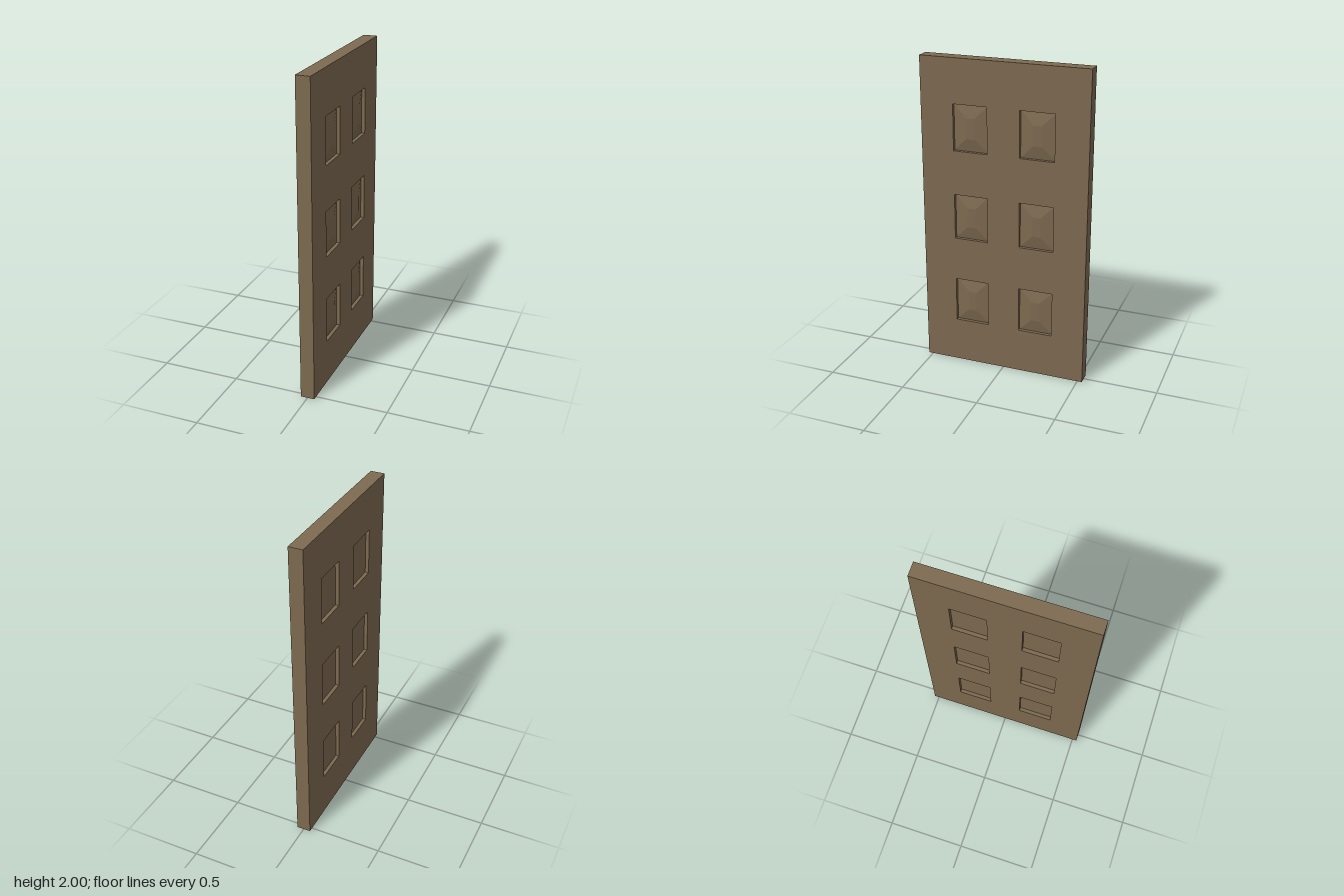
import * as THREE from 'three';

const HEIGHT = 2, HALF_W = 0.53, HALF_T = 0.044;
const PANEL_W = 0.218, PANEL_H = 0.291; // size of each recess
const RECESS = 0.022, RAISE = 0.017, BEVEL = 0.082;
const COLUMNS = [-0.212, 0.212];
const ROWS = [0.434, 1.005, 1.577];

const wood = new THREE.MeshStandardMaterial({ color: 0x7d6a50, flatShading: true });

function addPart(parent, name, geometry) {
  const mesh = new THREE.Mesh(geometry, wood);
  mesh.name = name;
  parent.add(mesh);
  return mesh;
}

// Rectangle as a closed loop of points around (cx, cy)
function rectangle(cx, cy, w, h) {
  return [[-1, -1], [1, -1], [1, 1], [-1, 1]].map(
    ([sx, sy]) => new THREE.Vector2(cx + sx * w / 2, cy + sy * h / 2));
}

// Door leaf with six rectangular openings, thickness running along x
function doorFrame() {
  const shape = new THREE.Shape(rectangle(0, HEIGHT / 2, HALF_W * 2, HEIGHT));
  for (const z of COLUMNS)
    for (const y of ROWS)
      shape.holes.push(new THREE.Path(rectangle(-z, y, PANEL_W, PANEL_H)));
  return new THREE.ExtrudeGeometry(shape, { depth: HALF_T * 2, bevelEnabled: false })
    .translate(0, 0, -HALF_T)
    .rotateY(Math.PI / 2);
}

// Raised field: a box whose outer (+x) face is drawn in by the bevel
function raisedField() {
  const geometry = new THREE.BoxGeometry(RAISE, PANEL_H, PANEL_W);
  const p = geometry.attributes.position;
  for (let i = 0; i < p.count; i++) {
    if (p.getX(i) < 0) continue;
    p.setY(i, p.getY(i) - Math.sign(p.getY(i)) * BEVEL);
    p.setZ(i, p.getZ(i) - Math.sign(p.getZ(i)) * BEVEL);
  }
  geometry.computeVertexNormals();
  return geometry;
}

export function createModel() {
  const door = new THREE.Group();
  door.name = 'panelDoor';
  addPart(door, 'doorFrame', doorFrame());

  // Thin panels closing the openings, with a bevelled field on the +x side
  const slab = new THREE.BoxGeometry((HALF_T - RECESS) * 2, PANEL_H, PANEL_W);
  const field = raisedField();
  for (const z of COLUMNS) {
    for (const y of ROWS) {
      const panel = new THREE.Group();
      panel.name = 'doorPanel';
      panel.position.set(0, y, z);
      addPart(panel, 'panelSlab', slab);
      addPart(panel, 'raisedField', field).position.x = HALF_T - RECESS + RAISE / 2;
      door.add(panel);
    }
  }
  return door;
}
